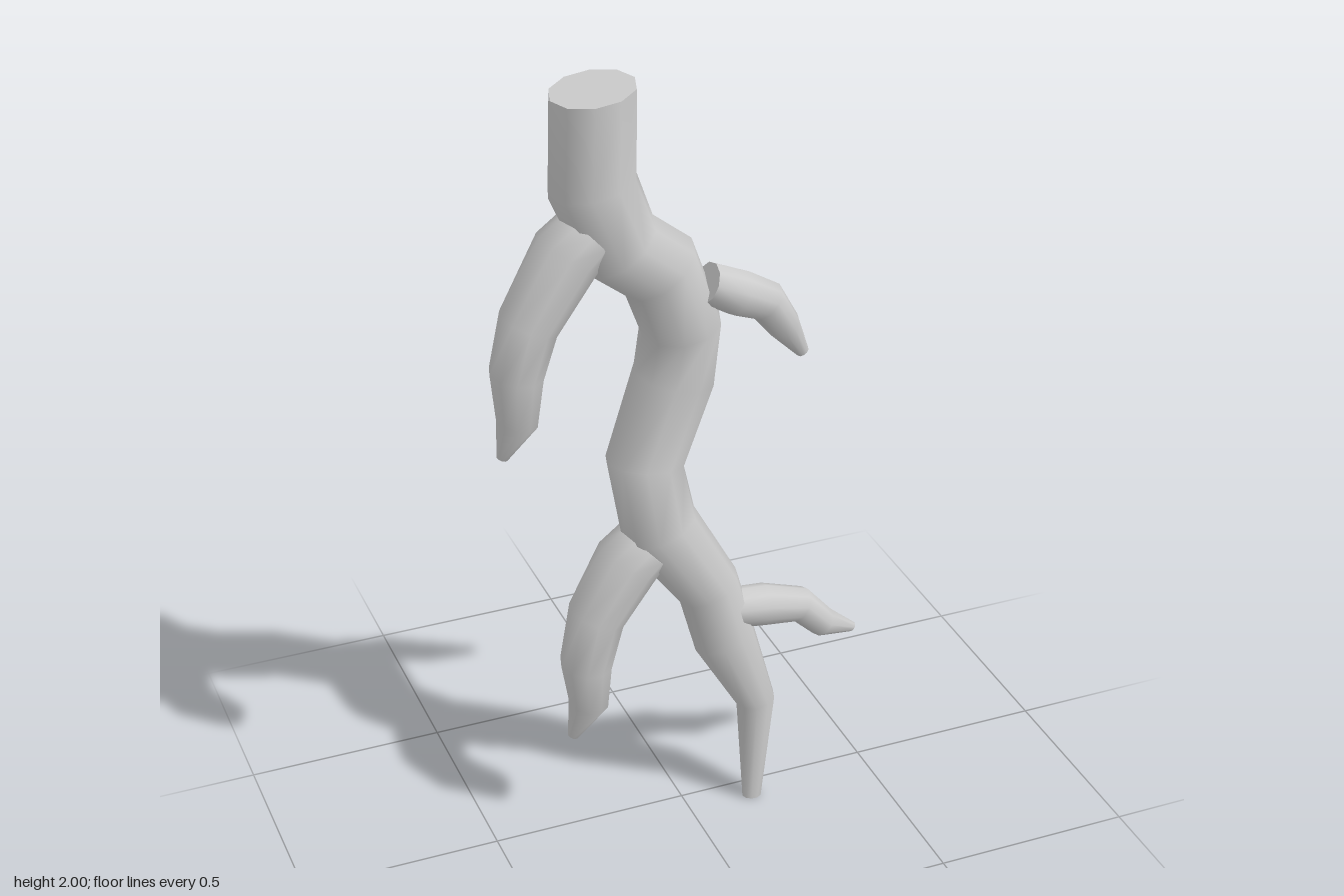
import * as THREE from 'three';

const SIDES = 10;

// Tapered limb swept along stations [x, y, z, radius, radius along z].
// Rings are mitred at every bend; ends are closed with flat caps.
function limb(name, stations, startDir) {
  const material = new THREE.MeshStandardMaterial({ color: 0xcccccc });
  const centres = stations.map(([x, y, z]) => new THREE.Vector3(x, y, z));
  const front = new THREE.Vector3(0, 0, 1);
  const last = stations.length - 1;
  const positions = [], index = [];

  const ring = (i) => {
    const t = new THREE.Vector3();
    if (i > 0) t.add(centres[i].clone().sub(centres[i - 1]).normalize());
    if (i < last) t.add(centres[i + 1].clone().sub(centres[i]).normalize());
    if (i === 0 && startDir) t.copy(startDir);
    t.normalize();
    const u = front.clone().cross(t).normalize();
    const v = t.clone().cross(u);
    const [, , , r, rz = r] = stations[i];
    return Array.from({ length: SIDES }, (_, j) => {
      const a = (j / SIDES) * Math.PI * 2;
      return centres[i].clone()
        .addScaledVector(u, Math.cos(a) * r)
        .addScaledVector(v, Math.sin(a) * rz);
    });
  };

  const rings = stations.map((_, i) => ring(i));
  rings.forEach((pts) => pts.forEach((p) => positions.push(p.x, p.y, p.z)));
  for (let i = 0; i < last; i++) {
    for (let j = 0; j < SIDES; j++) {
      const k = (j + 1) % SIDES;
      const a = i * SIDES + j, b = i * SIDES + k;
      index.push(a, b, b + SIDES, a, b + SIDES, a + SIDES);
    }
  }

  // Caps use their own vertices so the rims stay crisp
  const cap = (pts, centre, flip) => {
    const base = positions.length / 3;
    [centre, ...pts].forEach((p) => positions.push(p.x, p.y, p.z));
    for (let j = 0; j < SIDES; j++) {
      const a = base + 1 + j, b = base + 1 + ((j + 1) % SIDES);
      index.push(base, flip ? b : a, flip ? a : b);
    }
  };
  cap(rings[0], centres[0], true);
  cap(rings[last], centres[last], false);

  const geometry = new THREE.BufferGeometry();
  geometry.setAttribute('position', new THREE.Float32BufferAttribute(positions, 3));
  geometry.setIndex(index);
  geometry.computeVertexNormals();
  const mesh = new THREE.Mesh(geometry, material);
  mesh.name = name;
  return mesh;
}

export function createModel() {
  const root = new THREE.Group();
  root.name = 'root';

  // Main root, winding down from the cut top to the narrow foot
  root.add(limb('mainRoot', [
    [-0.213, 1.986, 0.008, 0.1, 0.104],
    [-0.225, 1.77, 0.027, 0.105, 0.1],
    [-0.16, 1.61, 0.024, 0.1],
    [-0.065, 1.535, 0.02, 0.1],
    [-0.008, 1.38, 0.012, 0.097],
    [-0.01, 1.225, -0.025, 0.1, 0.096],
    [-0.095, 1.02, 0.0, 0.096],
    [-0.07, 0.85, 0.027, 0.097],
    [0.055, 0.655, 0.035, 0.08],
    [0.097, 0.5, 0.04, 0.08, 0.072],
    [0.178, 0.3, 0.055, 0.05],
    [0.17, 0.003, 0.06, 0.025, 0.022],
  ], new THREE.Vector3(0.13, -1, 0)));

  // Thick side roots hanging on the right
  root.add(limb('upperRightSideRoot', [
    [-0.24, 1.655, 0.025, 0.07, 0.085],
    [-0.29, 1.61, 0.028, 0.082, 0.085],
    [-0.385, 1.455, 0.03, 0.07, 0.078],
    [-0.418, 1.335, 0.033, 0.064, 0.07],
    [-0.418, 1.21, 0.025, 0.05, 0.055],
    [-0.452, 1.11, 0.01, 0.014],
  ]));
  root.add(limb('lowerRightSideRoot', [
    [-0.11, 0.805, 0.025, 0.07, 0.085],
    [-0.155, 0.765, 0.028, 0.08, 0.085],
    [-0.235, 0.635, 0.03, 0.07, 0.076],
    [-0.265, 0.505, 0.033, 0.064, 0.07],
    [-0.258, 0.385, 0.025, 0.05, 0.055],
    [-0.295, 0.28, 0.01, 0.014],
  ]));

  // Thin side roots reaching out on the left
  root.add(limb('upperLeftSideRoot', [
    [0.045, 1.485, 0.045, 0.05, 0.055],
    [0.125, 1.445, 0.045, 0.056],
    [0.195, 1.41, 0.042, 0.05],
    [0.245, 1.335, 0.035, 0.04],
    [0.308, 1.238, 0.008, 0.016, 0.012],
  ]));
  root.add(limb('lowerLeftSideRoot', [
    [0.115, 0.58, 0.045, 0.05, 0.052],
    [0.2, 0.57, 0.045, 0.053],
    [0.3, 0.543, 0.04, 0.045],
    [0.368, 0.47, 0.032, 0.039],
    [0.468, 0.41, 0.003, 0.013, 0.01],
  ]));

  return root;
}
